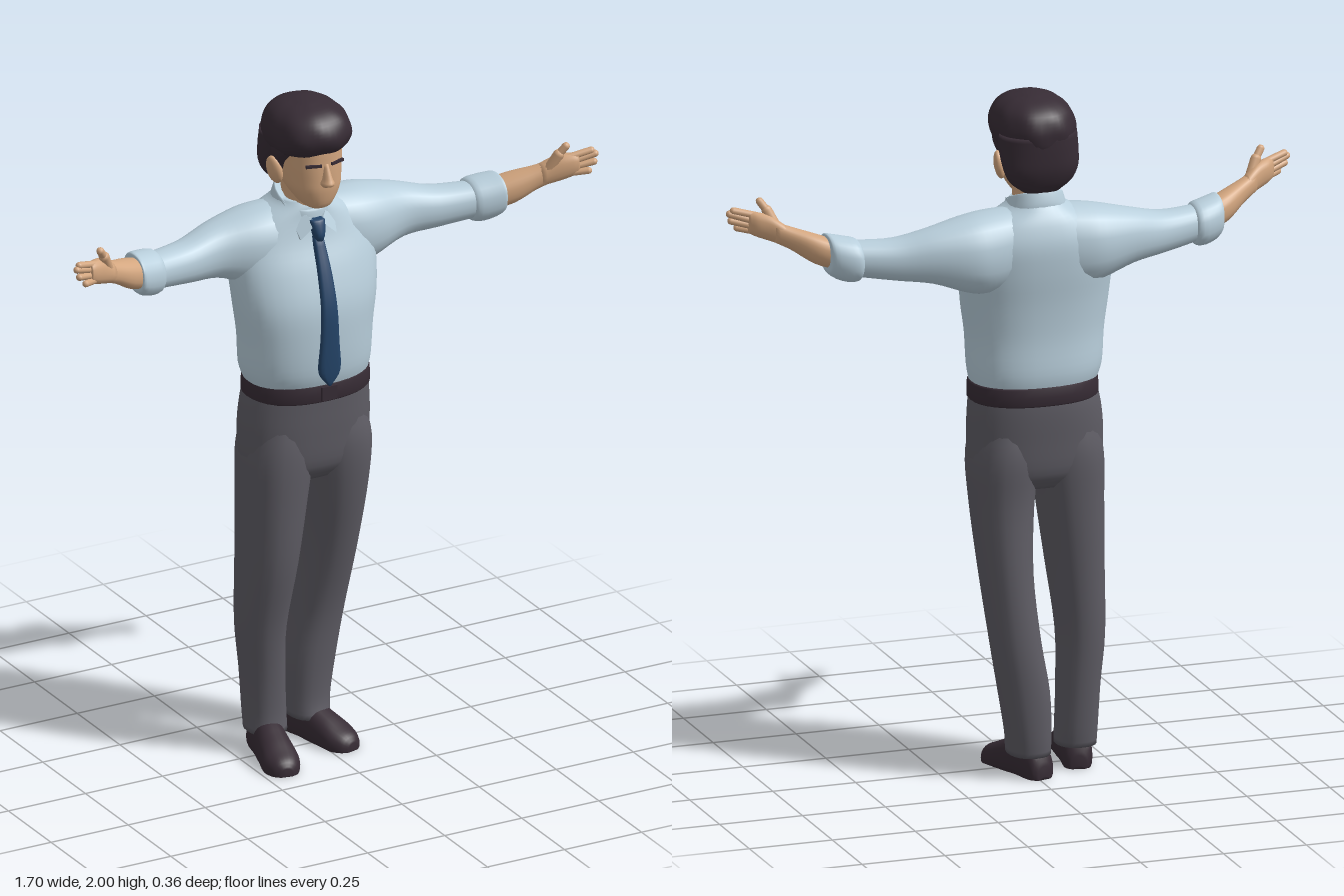
import * as THREE from 'three';
import { ConvexGeometry } from 'three/addons/geometries/ConvexGeometry.js';

const mat = (name, color) => Object.assign(new THREE.MeshStandardMaterial({ color }), { name });
const AXES = { x: ['x', 'y', 'z'], y: ['y', 'z', 'x'], z: ['z', 'x', 'y'] };

// Smooth closed loft along an axis. Each section is [t, u0, u1, v0, v1]:
// the position on the axis and the bounds of its rounded ring
// (x: u=y v=z, y: u=z v=x, z: u=x v=y).
function loft(axis, sections, { n = 24, steps = 4, power = 0.88, mirror = false, rule = null } = {}) {
  const [T, U, V] = AXES[axis];
  const spline = f => new THREE.CatmullRomCurve3(sections.map(s => new THREE.Vector3(...f(s))), false, 'catmullrom', 0.5);
  const mid = spline(s => [s[0], (s[1] + s[2]) / 2, (s[3] + s[4]) / 2]);
  const half = spline(s => [(s[2] - s[1]) / 2, (s[4] - s[3]) / 2, 0]);
  const rows = (sections.length - 1) * steps;
  const pos = [], idx = [];
  const add = (t, u, v) => {
    const p = { [T]: t, [U]: u, [V]: v };
    if (rule) rule(p);
    if (mirror) p.x = -p.x;
    pos.push(p.x, p.y, p.z);
  };
  const soft = a => Math.sign(a) * Math.abs(a) ** power;
  for (let i = 0; i <= rows; i++) {
    const c = mid.getPoint(i / rows), h = half.getPoint(i / rows);
    for (let j = 0; j < n; j++) {
      const a = (j / n) * Math.PI * 2;
      add(c.x, c.y + h.x * soft(Math.cos(a)), c.z + h.y * soft(Math.sin(a)));
    }
  }
  const tri = (a, b, c) => (mirror ? idx.push(a, c, b) : idx.push(a, b, c));
  for (let i = 0; i < rows; i++) for (let j = 0; j < n; j++) {
    const k = (j + 1) % n, a = i * n + j, b = i * n + k;
    tri(a, b, b + n);
    tri(a, b + n, a + n);
  }
  // end caps
  const first = mid.getPoint(0), last = mid.getPoint(1), c0 = pos.length / 3;
  add(first.x, first.y, first.z);
  add(last.x, last.y, last.z);
  for (let j = 0; j < n; j++) {
    const k = (j + 1) % n;
    tri(c0, k, j);
    tri(c0 + 1, rows * n + j, rows * n + k);
  }
  const g = new THREE.BufferGeometry();
  g.setAttribute('position', new THREE.Float32BufferAttribute(pos, 3));
  g.setIndex(idx);
  g.computeVertexNormals();
  return g;
}

// Rounded rod between two points
function rod(a, b, r) {
  const A = new THREE.Vector3(...a), B = new THREE.Vector3(...b), d = B.clone().sub(A);
  const g = new THREE.CapsuleGeometry(r, d.length(), 4, 10);
  g.applyQuaternion(new THREE.Quaternion().setFromUnitVectors(new THREE.Vector3(0, 1, 0), d.normalize()));
  return g.translate((A.x + B.x) / 2, (A.y + B.y) / 2, (A.z + B.z) / 2);
}

export function createModel() {
  const shirt = mat('shirt blue', 0xb9cfdc), trousers = mat('trouser grey', 0x5e5c64);
  const skin = mat('skin', 0xd3a67f), dark = mat('dark brown', 0x372c35), navy = mat('tie navy', 0x244468);
  const model = new THREE.Group();
  model.name = 'man';
  const add = (name, geometry, material, parent = model) => {
    const m = new THREE.Mesh(geometry, material);
    m.name = name;
    parent.add(m);
    return m;
  };
  const CX = -0.026; // middle line of the head and chest

  // Torso
  add('shirtBody', loft('y', [
    [1.14, -.15, .108, -.205, .155], [1.2, -.16, .125, -.226, .165], [1.3, -.155, .13, -.235, .17],
    [1.4, -.16, .125, -.248, .185], [1.5, -.172, .095, -.252, .195], [1.58, -.175, .06, -.235, .185],
    [1.64, -.16, .042, -.185, .135], [1.68, -.138, .035, -.12, .065], [1.7, -.12, .025, -.1, .045],
  ], { n: 36 }), shirt);
  const tilt = p => { p.y += (-.035 - p.z) * .4; };
  add('collarBand', loft('y', [
    [1.64, -.13, .046, -.118, .066], [1.665, -.128, .046, -.113, .061], [1.7, -.118, .042, -.104, .052], [1.704, -.112, .036, -.098, .046],
  ], { rule: tilt }), shirt);
  for (const s of [-1, 1]) {
    const corners = [[.078, 1.695, -.01], [.058, 1.598, .06], [.006, 1.645, .066]];
    const pts = corners.flatMap(([x, y, z]) => [z, z - .025].map(w => new THREE.Vector3(CX + s * x, y, w)));
    add('collarFlap', new ConvexGeometry(pts), shirt);
  }

  // Tie
  add('tieBlade', loft('y', [
    [1.165, .12, .138, -.035, -.027], [1.21, .11, .142, -.064, .004], [1.3, .11, .143, -.06, .0],
    [1.4, .1, .138, -.055, -.003], [1.5, .07, .11, -.05, -.006], [1.6, .03, .068, -.044, -.012],
  ], { n: 16, power: .6 }), navy);
  add('tieKnot', loft('y', [
    [1.59, .04, .078, -.04, -.016], [1.61, .04, .082, -.046, -.01], [1.645, .03, .07, -.052, -.004], [1.652, .03, .06, -.048, -.008],
  ], { n: 16 }), navy);

  // Arms, mirrored
  for (const mirror of [false, true]) {
    const arm = new THREE.Group();
    arm.name = mirror ? 'rightArm' : 'leftArm';
    model.add(arm);
    const flip = g => {
      if (!mirror) return g;
      g.scale(-1, 1, 1);
      const a = g.index.array;
      for (let i = 0; i < a.length; i += 3) [a[i], a[i + 1]] = [a[i + 1], a[i]];
      return g;
    };
    add('sleeve', loft('x', [
      [.05, 1.46, 1.68, -.155, .03], [.13, 1.44, 1.677, -.172, .04], [.2, 1.45, 1.668, -.174, .032],
      [.3, 1.485, 1.645, -.148, .005], [.4, 1.498, 1.62, -.115, .012], [.5, 1.512, 1.617, -.085, .028],
      [.57, 1.525, 1.62, -.065, .045],
    ], { mirror }), shirt, arm);
    add('rolledCuff', loft('x', [
      [.5, 1.518, 1.61, -.08, .025], [.51, 1.503, 1.624, -.093, .036], [.535, 1.5, 1.63, -.092, .044],
      [.57, 1.51, 1.636, -.08, .054], [.588, 1.524, 1.638, -.068, .058], [.59, 1.535, 1.63, -.058, .05],
    ], { mirror, steps: 2 }), shirt, arm);
    add('forearm', loft('x', [
      [.55, 1.53, 1.615, -.055, .035], [.62, 1.55, 1.638, -.03, .06], [.68, 1.588, 1.656, .01, .076], [.725, 1.61, 1.672, .038, .092],
    ], { mirror }), skin, arm);
    add('palm', loft('x', [
      [.69, 1.598, 1.658, .018, .08], [.735, 1.612, 1.688, .046, .1], [.77, 1.624, 1.696, .064, .112], [.79, 1.634, 1.694, .08, .115],
    ], { mirror, n: 16 }), skin, arm);
    const fingers = [
      [[.765, 1.684, .09], [.83, 1.7, .108]], [[.768, 1.668, .09], [.84, 1.69, .113]],
      [[.768, 1.652, .092], [.834, 1.668, .117]], [[.765, 1.637, .092], [.815, 1.645, .12]],
    ];
    for (const [a, b] of fingers) add('finger', flip(rod(a, b, .0105)), skin, arm);
    add('thumbBase', flip(rod([.715, 1.652, .07], [.737, 1.698, .086], .016)), skin, arm);
    add('thumbTip', flip(rod([.737, 1.698, .086], [.755, 1.724, .096], .0115)), skin, arm);
  }

  // Trousers and belt
  add('hips', loft('y', [
    [.85, -.11, .06, -.18, .12], [.9, -.144, .095, -.224, .162], [1, -.152, .105, -.23, .168],
    [1.08, -.155, .108, -.222, .165], [1.14, -.152, .11, -.207, .157],
  ], { n: 36 }), trousers);
  add('rightTrouserLeg', loft('y', [
    [.065, -.1, .034, -.208, -.09], [.13, -.108, .028, -.21, -.09], [.25, -.117, .034, -.216, -.094],
    [.4, -.125, .052, -.23, -.095], [.6, -.132, .09, -.231, -.072], [.8, -.14, .1, -.23, -.042],
    [.94, -.145, .1, -.228, -.022], [1.05, -.13, .085, -.2, -.04],
  ]), trousers);
  add('leftTrouserLeg', loft('y', [
    [.065, -.157, .0, -.052, .07], [.13, -.163, -.012, -.052, .078], [.25, -.168, -.01, -.047, .098],
    [.4, -.169, .002, -.022, .121], [.6, -.158, .045, -.005, .142], [.8, -.145, .085, -.016, .16],
    [.94, -.148, .1, -.035, .167], [1.05, -.13, .085, -.02, .14],
  ]), trousers);
  add('belt', loft('y', [
    [1.108, -.152, .108, -.206, .156], [1.112, -.162, .117, -.215, .165], [1.158, -.161, .117, -.213, .163], [1.162, -.152, .108, -.205, .155],
  ], { n: 36, steps: 2 }), dark);
  add('beltBuckle', new THREE.BoxGeometry(.05, .042, .012), dark).position.set(-.025, 1.135, .117);

  // Shoes, with soles flattened on the ground
  const flatten = p => { p.y = Math.max(p.y, 0); };
  const shoe = loft('z', [
    [-.136, -.022, .022, -.02, .04], [-.115, -.042, .042, -.03, .085], [-.045, -.046, .046, -.03, .108],
    [.03, -.052, .052, -.03, .085], [.085, -.055, .055, -.03, .062], [.122, -.04, .04, -.03, .045], [.138, -.018, .018, -.02, .025],
  ], { rule: flatten });
  for (const [name, x, z, turn] of [['rightShoe', -.167, .042, -.2], ['leftShoe', .022, -.024, .27]]) {
    const m = add(name, shoe, dark);
    m.position.set(x, 0, z);
    m.rotation.y = turn;
  }

  // Head
  add('neck', loft('y', [[1.6, -.1, .03, -.09, .038], [1.7, -.1, .035, -.086, .034], [1.78, -.1, .04, -.086, .034]]), skin);
  add('face', loft('y', [
    [1.69, .015, .07, -.048, -.004], [1.705, -.02, .092, -.07, .018], [1.75, -.07, .104, -.1, .048],
    [1.79, -.11, .106, -.11, .058], [1.84, -.125, .105, -.114, .062], [1.9, -.13, .1, -.112, .06], [1.95, -.1, .06, -.08, .03],
  ], { n: 32 }), skin);
  add('nose', loft('y', [
    [1.768, .08, .108, -.036, -.016], [1.782, .07, .136, -.046, -.006], [1.8, .07, .13, -.04, -.012], [1.84, .07, .11, -.034, -.018],
  ], { n: 12 }), skin);
  for (const s of [-1, 1]) {
    const ear = add('ear', new THREE.SphereGeometry(1, 16, 12), skin);
    ear.scale.set(.016, .043, .028);
    ear.position.set(CX + s * .1, 1.797, -.02);
    ear.rotation.set(-.15, s * -.3, s * -.2);
    const brow = add('eyebrow', new THREE.BoxGeometry(.046, .008, .008), dark);
    brow.position.set(CX + s * .038, 1.838, .099);
    brow.rotation.y = s * .28;
  }

  // Hair: crown, back and sideburns, gently waved into locks
  const locks = p => {
    const w = 1 + .012 * Math.sin(9 * Math.atan2(p.x - CX, p.z + .02) + p.y * 40);
    p.x = CX + (p.x - CX) * w;
    p.z = -.02 + (p.z + .02) * w;
  };
  add('hairCrown', loft('y', [
    [1.862, -.15, .094, -.132, .08], [1.885, -.155, .117, -.142, .09], [1.92, -.156, .128, -.144, .092],
    [1.96, -.14, .112, -.128, .076], [1.986, -.1, .075, -.095, .043], [2, -.045, .015, -.045, -.005],
  ], { n: 48, rule: locks }), dark);
  add('hairBack', loft('y', [
    [1.73, -.118, -.06, -.08, .028], [1.76, -.136, -.04, -.118, .066], [1.8, -.149, -.028, -.136, .084],
    [1.85, -.153, .01, -.141, .089], [1.9, -.154, .04, -.14, .088],
  ], { n: 32 }), dark);
  add('sideburns', loft('y', [
    [1.805, -.04, .016, -.117, .065], [1.83, -.05, .026, -.127, .075], [1.86, -.06, .05, -.136, .084], [1.9, -.06, .07, -.136, .084],
  ], { power: .7 }), dark);
  return model;
}
